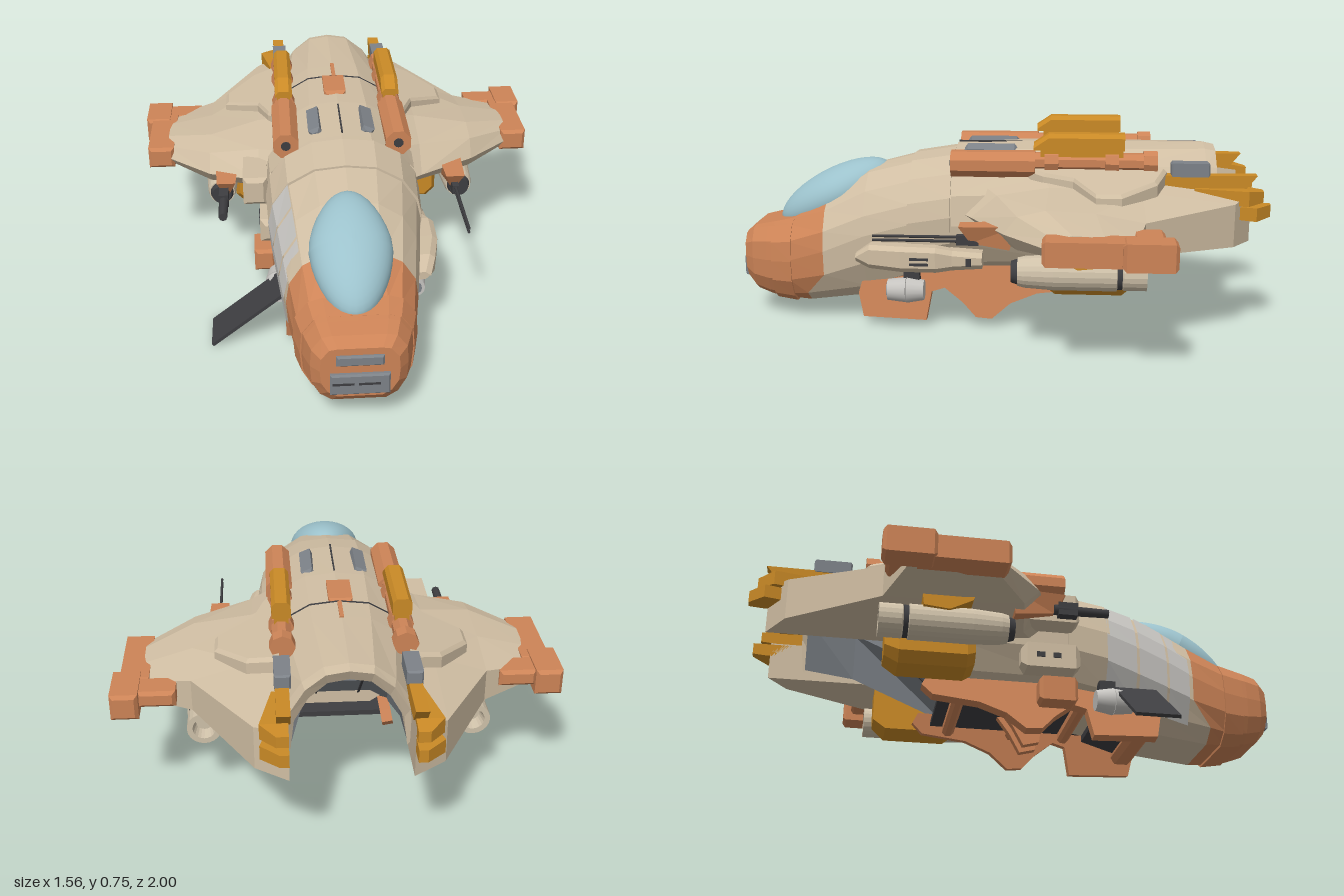
import * as THREE from 'three';

const mat = (name, color, side = THREE.FrontSide) => {
  const m = new THREE.MeshStandardMaterial({ color, side });
  m.name = name;
  return m;
};

export function createModel() {
  const D = THREE.DoubleSide, lerp = THREE.MathUtils.lerp;
  const tan = mat('tan hull', 0xd0bea3, D), orange = mat('burnt orange', 0xcd8457);
  const mustard = mat('mustard', 0xca8a26), glass = mat('canopy blue', 0x9cc2cc);
  const grey = mat('steel grey', 0x7d8288, D), dark = mat('charcoal', 0x3e3e41, D);
  const pale = mat('pale grey', 0xc6c4c0, D), bone = mat('engine bone', 0xcfc1a9);

  const root = new THREE.Group();
  root.name = 'dropship';
  const CX = -0.012; // centre line of the hull

  const add = (name, geo, m, x = 0, y = 0, z = 0) => {
    const mesh = new THREE.Mesh(geo, m);
    mesh.name = name;
    mesh.position.set(x, y, z);
    root.add(mesh);
    return mesh;
  };

  // Faceted skin through equal-length cross-sections; closed lofts get caps and outward faces
  const loft = (rings, closed = true) => {
    const n = rings[0].length, pos = [];
    const tri = (a, b, c) => pos.push(...a, ...b, ...c);
    for (let i = 0; i < rings.length - 1; i++)
      for (let j = 0; j < (closed ? n : n - 1); j++) {
        const k = (j + 1) % n, [p, q] = [rings[i], rings[i + 1]];
        tri(p[j], p[k], q[k]);
        tri(p[j], q[k], q[j]);
      }
    if (closed) {
      const a = rings[0], b = rings[rings.length - 1];
      const mid = r => [0, 1, 2].map(c => r.reduce((s, p) => s + p[c], 0) / n);
      for (let j = 0; j < n; j++) {
        const k = (j + 1) % n;
        tri(mid(a), a[k], a[j]);
        tri(mid(b), b[j], b[k]);
      }
      let vol = 0;
      const v = i => new THREE.Vector3(...pos.slice(i, i + 3));
      for (let i = 0; i < pos.length; i += 9) vol += v(i).dot(v(i + 3).cross(v(i + 6)));
      if (vol < 0)
        for (let i = 0; i < pos.length; i += 9)
          for (let c = 0; c < 3; c++) [pos[i + c], pos[i + 3 + c]] = [pos[i + 3 + c], pos[i + c]];
    }
    const g = new THREE.BufferGeometry();
    g.setAttribute('position', new THREE.Float32BufferAttribute(pos, 3));
    g.computeVertexNormals();
    return g;
  };

  // Side profile of [z, y] points given thickness t along x
  const slab = (pts, t) => {
    const shape = new THREE.Shape(pts.map(p => new THREE.Vector2(...p)));
    return new THREE.ExtrudeGeometry(shape, { depth: t, bevelEnabled: false }).rotateY(-Math.PI / 2).translate(t / 2, 0, 0);
  };
  // Box with chamfered edges
  const block = (w, h, d, b = 0.012) => {
    const x = w / 2 - b, y = h / 2 - b;
    const s = new THREE.Shape([[-x, -y], [x, -y], [x, y], [-x, y]].map(p => new THREE.Vector2(...p)));
    return new THREE.ExtrudeGeometry(s, { depth: d - 2 * b, bevelSize: b, bevelThickness: b, bevelSegments: 1 })
      .translate(0, 0, b - d / 2);
  };
  const box = (w, h, d) => new THREE.BoxGeometry(w, h, d);
  // Cylinder along z, first radius at the front
  const tube = (rf, rb, len, n = 20) => new THREE.CylinderGeometry(rf, rb, len, n).rotateX(Math.PI / 2);
  const facet = g => { const f = g.toNonIndexed(); f.computeVertexNormals(); return f; };

  // Fuselage sections: z, half width, bottom, top, squareness
  const soft = [[0, 1], [0.4, 0.95], [0.74, 0.72], [0.94, 0.38], [1, 0.08], [0.97, -0.35], [0.76, -0.78], [0.48, -1], [0, -1]];
  const square = [[0, 1], [0.55, 1], [0.76, 0.95], [0.97, 0.6], [1, 0.1], [0.97, -0.4], [0.8, -0.8], [0.56, -1], [0, -1]];
  const hullRing = ([z, w, b, t, k = 0], grow = 1) => {
    const half = soft.map(([x, y], i) => [lerp(x, square[i][0], k), lerp(y, square[i][1], k)]);
    return [...half, ...half.slice(1, -1).reverse().map(([x, y]) => [-x, y])]
      .map(([x, y]) => [CX + x * w * grow, (b + t) / 2 + y * grow * (t - b) / 2, z]);
  };
  const nose = [[0.985, 0.13, 0.145, 0.335, 1], [0.95, 0.16, 0.105, 0.362, 1], [0.89, 0.18, 0.085, 0.375, 1], [0.8, 0.203, 0.074, 0.395, 0.8]];
  const cabin = [[0.66, 0.228, 0.07, 0.485, 0.3], [0.5, 0.252, 0.1, 0.59], [0.32, 0.275, 0.165, 0.635]];
  // The paint edge runs further forward under the chin
  const paintEdge = hullRing(cabin[0]).map(([x, y, z]) => [x, y, z + (y < 0.18 ? 0.075 : 0)]);
  add('nose', loft([...nose.map(s => hullRing(s)), paintEdge]), orange);
  add('cabin', loft([paintEdge, ...cabin.slice(1).map(s => hullRing(s))]), tan);
  add('collar', loft([[0.33, 0.28, 0.17, 0.64], [0.17, 0.288, 0.2, 0.665]].map(s => hullRing(s))), tan);
  add('midHull', loft([[0.17, 0.278, 0.21, 0.655], [-0.25, 0.26, 0.22, 0.67]].map(s => hullRing(s))), tan);
  add('noseBand', loft([[0.87, 0.19, 0.074, 0.38, 0.9], [0.79, 0.21, 0.064, 0.4, 0.8]].map(s => hullRing(s))), orange);

  // Boarding door panels on the right flank
  const doorAt = f => cabin[1].map((v, i) => f < 0.5 ? lerp(cabin[0][i], v, f * 2) : lerp(v, cabin[2][i], f * 2 - 1));
  for (const [a, b] of [[0.05, 0.3], [0.33, 0.65], [0.68, 1]])
    add('doorPanel', loft([a, b].map(f => hullRing(doorAt(f), 1.025).slice(10, 15)), false), pale);
  const ramp = add('boardingRamp', box(0.335, 0.012, 0.16), dark, -0.378, 0.116, 0.43);
  ramp.rotation.z = Math.atan2(0.215, 0.27);

  // Canopy, narrowing toward both ends
  const dome = new THREE.SphereGeometry(1, 32, 20), dp = dome.attributes.position;
  for (let i = 0; i < dp.count; i++) dp.setX(i, dp.getX(i) * (1 - 0.15 * Math.abs(dp.getZ(i) + 0.1)));
  dome.computeVertexNormals();
  const canopy = add('canopy', dome, glass, CX - 0.004, 0.472, 0.645);
  canopy.scale.set(0.145, 0.1, 0.245);
  canopy.rotation.x = 0.48;

  // Nose grilles
  add('upperGrille', block(0.155, 0.04, 0.03, 0.006), grey, CX, 0.29, 0.98);
  add('lowerGrille', block(0.195, 0.08, 0.03, 0.006), grey, CX, 0.2, 0.985);
  for (const x of [-0.055, 0.03]) add('grilleSlot', box(0.07, 0.008, 0.004), dark, CX + x, 0.205, 1);

  // Rear roof shell with a turned-in lip
  const arch = [[0.3, 0.43], [0.28, 0.54], [0.205, 0.625], [0.11, 0.678], [0, 0.69]];
  const archFull = [...arch, ...arch.slice(0, -1).reverse().map(([x, y]) => [-x, y])];
  const shell = (z, k, dy) => archFull.map(([x, y]) => [CX + x * k, y + dy, z]);
  add('roofShell', loft([shell(0.165, 0.96, -0.012), shell(-0.1, 1, 0), shell(-0.45, 0.92, 0.002), shell(-0.77, 0.74, 0.003), shell(-0.81, 0.7, -0.005), shell(-0.79, 0.64, -0.045)], false), tan);
  add('roofSeam', loft([-0.334, -0.346].map(z => shell(z, 0.948, 0.005).slice(2, 7)), false), dark);
  add('roofSeam', box(0.006, 0.006, 0.34), dark, CX, 0.686, -0.01);
  add('spine', block(0.085, 0.03, 0.17), orange, CX - 0.005, 0.685, -0.255);
  add('spineFin', box(0.015, 0.02, 0.12), orange, CX, 0.687, -0.4);

  // Open cargo bay
  const bay = (z, w, c, b) => [[-0.192, b], [-w, c - 0.04], [-w * 0.65, c], [w * 0.65, c], [w, c - 0.04], [0.192, b]].map(([x, y]) => [CX + x, y, z]);
  add('cargoBay', loft([bay(-0.79, 0.14, 0.64, 0.4), bay(-0.6, 0.165, 0.59, 0.375), bay(-0.24, 0.188, 0.26, 0.22)], false), grey);
  for (const x of [-0.08, 0.08]) {
    const rib = add('bayRib', box(0.008, 0.008, 0.48), dark, CX + x, 0.422, -0.42);
    rib.rotation.x = 0.745;
  }
  add('bayFloor', box(0.37, 0.02, 0.62), dark, CX, 0.195, 0.02);
  add('bayFloorFront', slab([[0.5, 0.09], [0.5, 0.12], [0.31, 0.19], [0.31, 0.15]], 0.28), dark, CX);

  // Inner belly frames
  add('bellyFrontFrame', block(0.37, 0.09, 0.09, 0.02), orange, CX, 0.125, 0.48);
  for (const z of [0.24, -0.22]) add('bellyFrame', block(0.38, 0.05, 0.045), orange, CX, 0.175, z);
  for (const s of [-1, 1]) {
    add('bellyClaw', slab([[0.12, 0.19], [0.1, 0.06], [0.04, 0.045], [0, 0.12], [-0.05, 0.19]], 0.03), orange, CX + s * 0.04);
    add('bellySeat', block(0.06, 0.06, 0.1), orange, CX + s * 0.1, 0.165, 0.05);
  }

  for (const s of [-1, 1]) {
    const X = x => CX + s * x;
    const dz = s > 0 ? -0.06 : 0; // left wing tip is swept further back

    // Wing
    const wing = [[0.2, 0.18, -0.93, 0.36, 0.605], [0.31, 0.09, -0.86, 0.365, 0.575], [0.51, 0.02 + dz, -0.53, 0.385, 0.542], [0.68, -0.13 + dz, -0.46 + dz / 2, 0.415, 0.5]];
    add('wing', loft(wing.map(([x, f, r, b, t]) => {
      const L = f - r, h = t - b;
      return [[f, b + h * 0.45], [f - L * 0.1, t - h * 0.15], [f - L * 0.3, t], [f - L * 0.65, t - h * 0.05], [r, t - h * 0.25], [r, b], [f - L * 0.5, b], [f - L * 0.1, b + h * 0.1]]
        .map(([z, y]) => [s * x + (x < 0.4 ? CX : 0), y, z]);
    })), tan);
    // Raised wing armour
    const plate = [[0.22, -0.1], [0.27, -0.17], [0.31, -0.28], [0.44, -0.36], [0.44, -0.45], [0.33, -0.58], [0.22, -0.62]];
    const lift = (d, k) => plate.map(([x, z]) => [X(0.2 + (x - 0.2) * k), 0.628 - (x - 0.2) * 0.23 + d, -0.36 + (z + 0.36) * k]);
    add('wingArmour', loft([lift(-0.06, 1), lift(-0.005, 1), lift(0.008, 0.95)]), tan);

    // Wing tips
    add('wingTip', block(0.1, 0.085, 0.32), orange, s * 0.705, 0.455, -0.28 + dz);
    add('wingTipRear', block(0.095, 0.095, 0.18), orange, s * 0.732, 0.455, -0.46 + dz * 1.2);
    add('wingTipBracket', block(0.13, 0.06, 0.11), orange, s * 0.625, 0.465, -0.475 + dz);

    // Wing gun with bracket
    add('gunBracket', loft([
      [[0.39, 0.47, -0.08], [0.48, 0.47, -0.08], [0.46, 0.38, -0.06], [0.41, 0.38, -0.06]],
      [[0.4, 0.465, 0.12], [0.47, 0.465, 0.12], [0.445, 0.4, 0.08], [0.425, 0.4, 0.08]],
    ].map(r => r.map(([x, y, z]) => [s * x + CX, y, z]))), orange);
    if (s < 0) {
      add('heavyGun', tube(0.016, 0.02, 0.2, 8), dark, -0.457, 0.415, 0.18);
      add('heavyGunBody', box(0.035, 0.05, 0.07), dark, -0.457, 0.415, 0.13);
    } else {
      add('gunBody', box(0.025, 0.035, 0.08), dark, 0.425, 0.41, 0.09);
      for (const y of [0.405, 0.42]) add('thinBarrel', tube(0.005, 0.006, 0.34, 6), dark, 0.425, y, 0.26);
    }

    // Underwing engine and pylon
    const prof = [[0, 0.225], [0.05, 0.225], [0.056, 0.2], [0.063, 0.1], [0.063, -0.12], [0.054, -0.125], [0.054, -0.14], [0.06, -0.145], [0.06, -0.225], [0.04, -0.225], [0.03, -0.18], [0, -0.18]];
    add('engine', facet(new THREE.LatheGeometry(prof.map(p => new THREE.Vector2(...p)).reverse(), 20).rotateX(Math.PI / 2)), bone, s * 0.474, 0.312, -0.315);
    add('engineIntake', tube(0.038, 0.048, 0.03), dark, s * 0.474, 0.312, -0.082);
    add('engineBand', tube(0.058, 0.058, 0.02), dark, s * 0.474, 0.312, -0.445);
    add('enginePylon', slab([[-0.2, 0.43], [-0.22, 0.38], [-0.3, 0.34], [-0.39, 0.35], [-0.4, 0.43]], 0.11), mustard, s * 0.485);
    // Lower nacelle
    const oct = (z, k) => [[0.25, 0.2], [0.375, 0.195], [0.41, 0.23], [0.41, 0.36], [0.39, 0.4], [0.25, 0.4]]
      .map(([x, y]) => [X(0.25 + (x - 0.25) * k), 0.4 + (y - 0.4) * k, z]);
    add('lowerNacelle', loft([oct(-0.19, 0.9), oct(-0.22, 1), oct(-0.46, 1), oct(-0.51, 0.82)]), mustard);

    // Roof cannon
    add('cannonFront', facet(tube(0.05, 0.052, 0.31, 8).rotateZ(Math.PI / 8)), orange, X(0.207), 0.64, 0.015);
    add('cannonRear', facet(tube(0.036, 0.036, 0.45, 8).rotateZ(Math.PI / 8)), orange, X(0.207), 0.65, -0.36);
    for (const z of [-0.2, -0.42, -0.56]) add('cannonRing', facet(tube(0.044, 0.044, 0.05, 8)), orange, X(0.207), 0.65, z);
    add('cannonMuzzle', tube(0.018, 0.018, 0.008, 10), dark, X(0.207), 0.642, 0.17);
    add('cannonPod', loft([[-0.135, 0.72], [-0.19, 0.757], [-0.465, 0.757]].map(([z, t]) =>
      [[-0.033, 0.697], [0.033, 0.697], [0.033, t - 0.015], [0.02, t], [-0.02, t], [-0.033, t - 0.015]].map(([x, y]) => [X(0.207) + x, y, z]))), mustard);
    add('cannonMount', box(0.05, 0.07, 0.3), mustard, X(0.207), 0.667, -0.31);

    // Tail fins and roof fittings
    add('tailFin', slab([[-0.58, 0.565], [-0.6, 0.61], [-0.945, 0.612], [-0.9, 0.555]], 0.045), mustard, X(0.215));
    const fin = (z, x, a, b) => [[X(0.2), a, z], [X(x), a, z], [X(x), b, z], [X(0.2), b, z]];
    add('tailPlankUpper', loft([fin(-0.72, 0.25, 0.51, 0.565), fin(-0.91, 0.292, 0.51, 0.565), fin(-0.97, 0.24, 0.515, 0.555)]), mustard);
    add('tailPlankLower', loft([fin(-0.8, 0.25, 0.46, 0.505), fin(-0.94, 0.292, 0.455, 0.505), fin(-0.998, 0.23, 0.46, 0.505)]), mustard);
    add('tailBlock', block(0.055, 0.05, 0.14, 0.006), grey, X(0.213), 0.63, -0.705);
    add('roofVent', block(0.045, 0.03, 0.2, 0.012), grey, X(0.097), 0.67, 0.03).rotation.z = -s * 0.4;

    // Belly thruster and splayed skirt
    add('thruster', tube(0.04, 0.048, 0.07, 16), pale, X(0.25), 0.16, 0.375);
    add('thrusterBase', tube(0.05, 0.038, 0.065, 16), pale, X(0.25), 0.16, 0.305);
    add('thrusterNozzle', tube(0.028, 0.028, 0.008, 12), grey, X(0.25), 0.16, 0.41);
    add('thrusterArm', box(0.04, 0.06, 0.06), dark, X(0.235), 0.21, 0.32);
    const skirt = slab([[0.53, 0.13], [0.51, 0.04], [0.27, 0.03], [0.25, 0.14], [0.2, 0.155], [0.13, 0.1], [0.08, 0.045], [0.02, 0.04], [-0.05, 0.1], [-0.15, 0.14], [-0.32, 0.16], [-0.36, 0.2], [-0.34, 0.24], [0.5, 0.24]], 0.04);
    add('bellySkirt', skirt, orange, X(0.215)).rotation.z = s * 0.18;
  }

  // Flank sponsons
  const sponson = [[0.525, 0.28, 0.275, 0.305], [0.47, 0.3, 0.255, 0.345], [0.35, 0.325, 0.25, 0.347], [0.22, 0.328, 0.25, 0.345], [0.16, 0.31, 0.255, 0.33], [0.05, 0.3, 0.26, 0.32]];
  add('leftSponson', loft(sponson.map(([z, x, b, t]) => [[0.23, b, z], [x - 0.02, b, z], [x, b + 0.02, z], [x, t - 0.015, z], [x - 0.02, t, z], [0.23, t, z]])), tan);
  for (const y of [0.285, 0.305]) add('sponsonSlot', box(0.008, 0.01, 0.07), dark, 0.325, y, 0.28);
  add('sponsonPort', box(0.008, 0.03, 0.02), dark, 0.303, 0.29, 0.1);
  add('rightSponson', block(0.085, 0.095, 0.22, 0.02), tan, -0.282, 0.3, 0.1);
  for (const z of [0.06, 0.12]) add('sponsonPort', box(0.008, 0.02, 0.03), dark, -0.324, 0.3, z);
  add('wingRootBlock', block(0.09, 0.11, 0.2, 0.015), tan, -0.337, 0.465, 0.095);
  add('sideLocker', block(0.08, 0.09, 0.14), orange, -0.31, 0.16, 0.12);
  return root;
}
